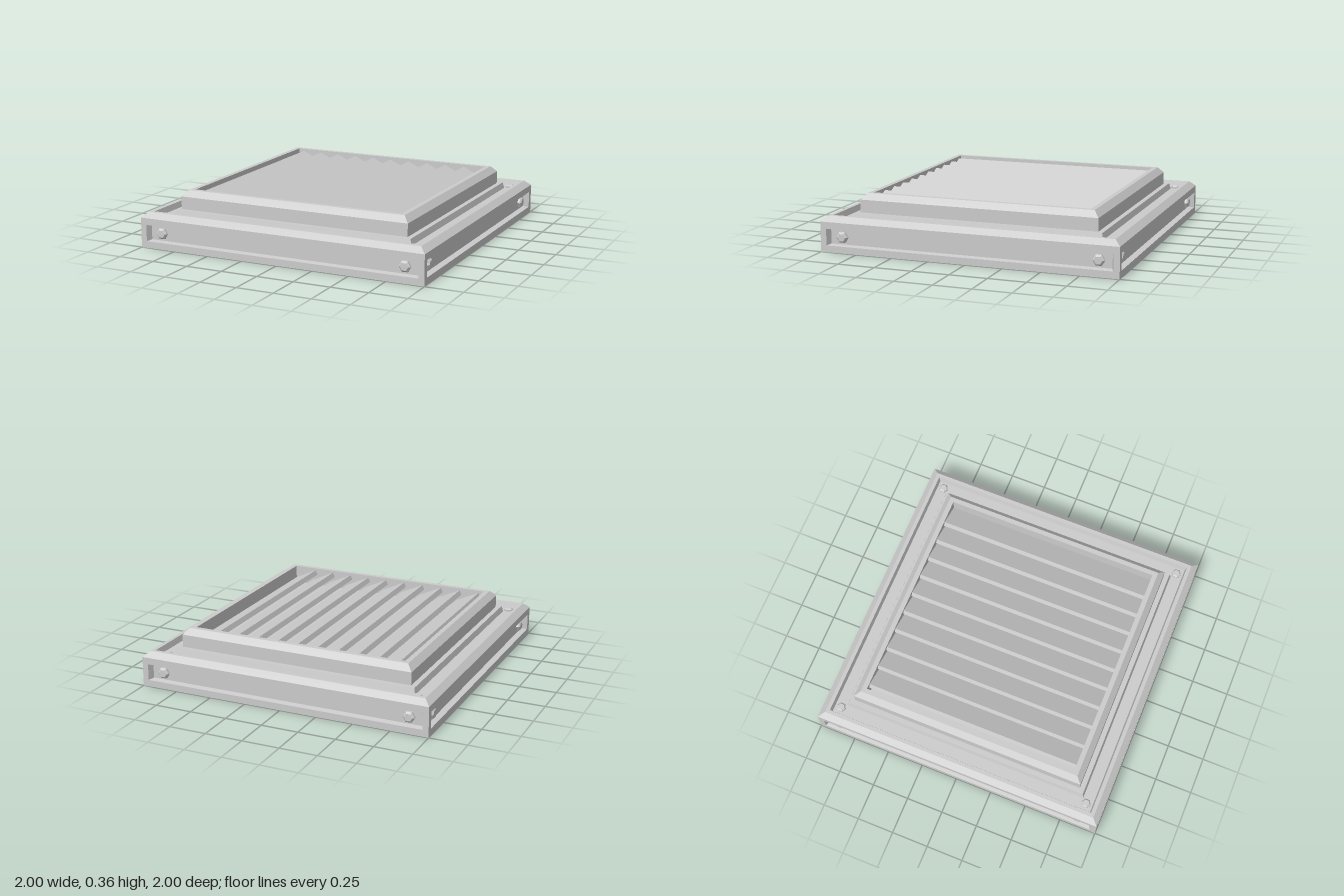
import * as THREE from 'three';

const material = new THREE.MeshStandardMaterial({ color: 0xcccccc, flatShading: true });

// Skin between rectangular loops [halfWidth, halfHeight, z]; the last loop is closed.
function loft(loops) {
  const pos = [];
  const corners = ([w, h, z]) => [[-w, -h, z], [w, -h, z], [w, h, z], [-w, h, z]];
  const quad = (a, b, c, d) => pos.push(...a, ...b, ...c, ...a, ...c, ...d);
  for (let k = 0; k < loops.length - 1; k++) {
    const a = corners(loops[k]), b = corners(loops[k + 1]);
    for (let i = 0; i < 4; i++) {
      const j = (i + 1) % 4;
      quad(a[i], a[j], b[j], b[i]);
    }
  }
  quad(...corners(loops[loops.length - 1]));
  const geometry = new THREE.BufferGeometry();
  geometry.setAttribute('position', new THREE.Float32BufferAttribute(pos, 3));
  geometry.computeVertexNormals();
  return geometry;
}

function part(name, geometry, parent) {
  const mesh = new THREE.Mesh(geometry, material);
  mesh.name = name;
  parent.add(mesh);
  return mesh;
}

export function createModel() {
  const model = new THREE.Group();
  model.name = 'floorVent';

  // Bevelled top: outer rim, bolt channel, raised frame and inner well
  const topProfile = [
    [1, 0.2], [0.96, 0.235], [0.935, 0.235], [0.925, 0.195], [0.85, 0.195], [0.84, 0.235],
    [0.807, 0.235], [0.807, 0.32], [0.77, 0.36], [0.738, 0.36], [0.738, 0.235],
  ];
  const top = loft(topProfile.map(([r, y]) => [r, r, y])).rotateX(-Math.PI / 2);
  part('topFrame', top, model);

  // Underside
  part('bottomPlate', new THREE.PlaneGeometry(2, 2).rotateX(Math.PI / 2), model);

  // Hexagonal bolt head with a bevelled rim, standing along +y
  const boltGeometry = new THREE.LatheGeometry(
    [[0.039, 0], [0.039, 0.015], [0.027, 0.026], [0, 0.026]].map(([x, y]) => new THREE.Vector2(x, y)), 6);

  // Four sides, each with a long recess and two bolts
  const panelGeometry = loft([[1, 0.1, 1], [0.96, 0.055, 1], [0.944, 0.049, 0.96]]);
  const sideBoltGeometry = boltGeometry.clone().rotateY(Math.PI / 6).rotateX(Math.PI / 2);
  for (let i = 0; i < 4; i++) {
    const side = new THREE.Group();
    side.name = 'side';
    side.position.y = 0.1;
    side.rotation.y = i * Math.PI / 2;
    part('sidePanel', panelGeometry, side);
    for (const s of [-1, 1]) part('sideBolt', sideBoltGeometry, side).position.set(s * 0.86, 0, 0.96);
    model.add(side);
  }

  // Bolts in the corners of the channel
  for (const x of [-0.88, 0.88]) {
    for (const z of [-0.88, 0.88]) {
      const bolt = part('cornerBolt', boltGeometry, model);
      bolt.position.set(x, 0.195, z);
      bolt.scale.setScalar(0.82);
    }
  }

  // Overlapping slats, each tilted down towards +x from its upper left edge
  const length = 0.185, thickness = 0.035, tilt = THREE.MathUtils.degToRad(25);
  const slatGeometry = new THREE.BoxGeometry(length, thickness, 1.476)
    .translate(length / 2, -thickness / 2, 0).rotateZ(-tilt);
  for (let i = 0; i < 10; i++) {
    part('slat', slatGeometry, model).position.set(-0.698 + i * 0.142, 0.345, 0);
  }

  return model;
}
